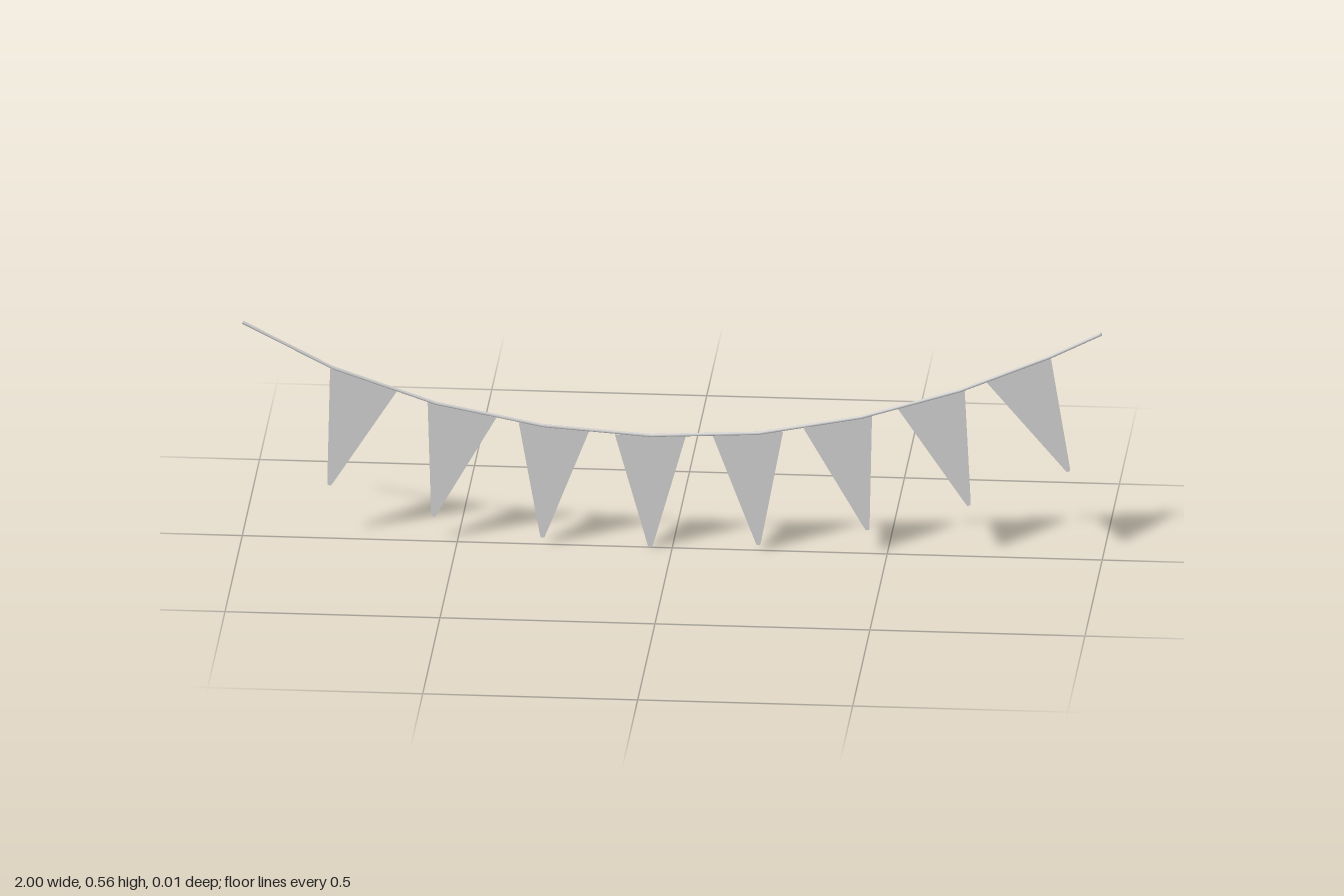
import * as THREE from 'three';

const WIDTH = 0.165, LENGTH = 0.277, TIP = 0.008, RADIUS = 0.004;

// Points where the sagging rope bends
const ROPE = [
  [-0.999, 0.53], [-0.79, 0.424], [-0.55, 0.343], [-0.3, 0.295], [-0.05, 0.278],
  [0.2, 0.291], [0.44, 0.338], [0.67, 0.411], [0.88, 0.501], [0.998, 0.561],
];

// Middle of each pennant's top edge (x, y) and its tilt in degrees
const PENNANTS = [
  [-0.717, 0.397, -17], [-0.489, 0.331, -14], [-0.275, 0.293, -5.6], [-0.051, 0.278, 0],
  [0.176, 0.29, 5.1], [0.385, 0.327, 14.5], [0.602, 0.389, 18.6], [0.805, 0.469, 25],
];

export function createModel() {
  const model = new THREE.Group();
  model.name = 'pennantBunting';
  const material = new THREE.MeshStandardMaterial({ color: 0xcccccc, side: THREE.DoubleSide });

  // Rope: straight runs between the bends, one ring per bend
  const curve = new THREE.CatmullRomCurve3(ROPE.map(([x, y]) => new THREE.Vector3(x, y, 0)));
  curve.getPointAt = (t, target) => curve.getPoint(t, target);
  curve.getTangentAt = (t, target) => curve.getTangent(t, target);
  const rope = new THREE.Mesh(new THREE.TubeGeometry(curve, ROPE.length - 1, RADIUS, 8), material);
  rope.name = 'rope';
  model.add(rope);

  // Caps closing both rope ends
  for (const t of [0, 1]) {
    const cap = new THREE.Mesh(new THREE.CircleGeometry(RADIUS, 8), material);
    cap.position.copy(curve.getPoint(t));
    cap.lookAt(cap.position.clone().addScaledVector(curve.getTangent(t), t ? 1 : -1));
    cap.name = 'ropeEnd';
    model.add(cap);
  }

  // Pennants: thin cloth triangles with a blunt tip
  const shape = new THREE.Shape([
    [-WIDTH / 2, 0], [-TIP, 0.012 - LENGTH], [-TIP / 2, -LENGTH],
    [TIP / 2, -LENGTH], [TIP, 0.012 - LENGTH], [WIDTH / 2, 0],
  ].map(([x, y]) => new THREE.Vector2(x, y)));
  const cloth = new THREE.ShapeGeometry(shape);
  PENNANTS.forEach(([x, y, tilt], i) => {
    const pennant = new THREE.Mesh(cloth, material);
    pennant.position.set(x, y, 0);
    pennant.rotation.z = THREE.MathUtils.degToRad(tilt);
    pennant.name = `pennant${i + 1}`;
    model.add(pennant);
  });

  return model;
}
